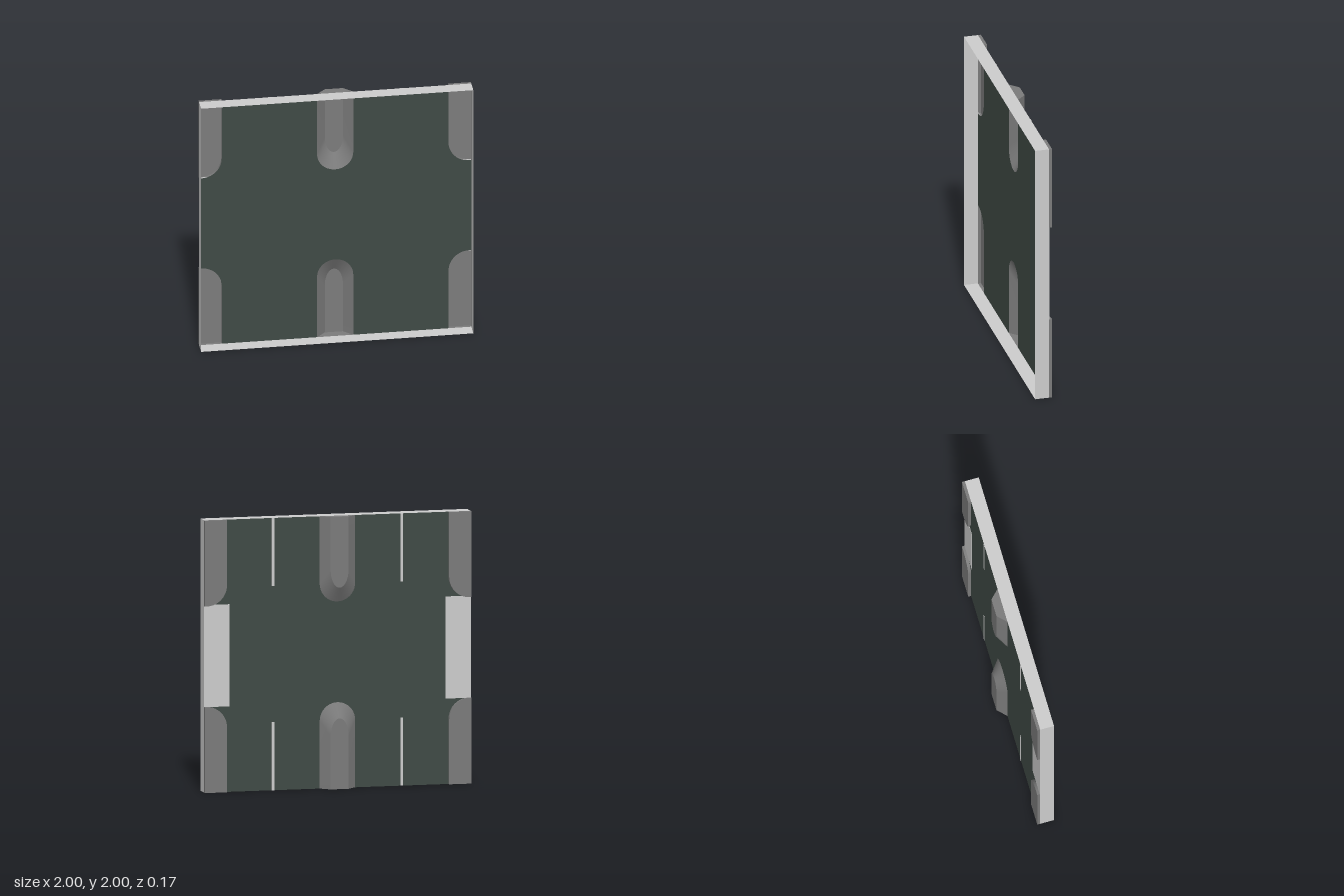
import * as THREE from 'three';
import { toCreasedNormals } from 'three/addons/utils/BufferGeometryUtils.js';

const DECK = -0.02, CURB = -0.042, RIDGE = -0.085, OPEN = 0.085;

function flat(name, color) {
  const m = new THREE.MeshStandardMaterial({ color, side: THREE.DoubleSide });
  m.name = name;
  return m;
}

// Elliptical arc as a list of points
function arc(cx, cy, rx, ry, a0, a1, n) {
  return Array.from({ length: n + 1 }, (_, i) => {
    const a = a0 + (a1 - a0) * i / n;
    return new THREE.Vector2(cx + rx * Math.cos(a), cy + ry * Math.sin(a));
  });
}

// Round-ended strip rising from y = 0, listed from left to right
function tongue(halfWidth, centre, ry) {
  return [new THREE.Vector2(-halfWidth, 0),
    ...arc(0, centre, halfWidth, ry, Math.PI, 0, 20),
    new THREE.Vector2(halfWidth, 0)];
}

// Inner edge of the right-hand pavement, from y = 0 to the outer side
function pavementEdge() {
  return [new THREE.Vector2(0.833, 0),
    ...arc(0.983, 0.475, 0.15, 0.155, Math.PI, Math.PI / 2, 10),
    new THREE.Vector2(1, 0.63)];
}

const flipX = pts => pts.map(p => new THREE.Vector2(-p.x, p.y)).reverse();
const flipY = pts => pts.map(p => new THREE.Vector2(p.x, 2 - p.y)).reverse();

// Hollow raised shell: walls between two outlines, closed by a top face
function shell(base, top, z0, z1) {
  const pos = [], n = base.length;
  const tri = (...ps) => ps.forEach(([p, z]) => pos.push(p.x, p.y, z));
  for (let i = 0; i < n; i++) {
    const j = (i + 1) % n;
    tri([base[i], z0], [top[i], z1], [base[j], z0]);
    tri([base[j], z0], [top[i], z1], [top[j], z1]);
  }
  for (const f of THREE.ShapeUtils.triangulateShape(top, []))
    tri(...f.map(k => [top[k], z1]));
  const g = new THREE.BufferGeometry();
  g.setAttribute('position', new THREE.Float32BufferAttribute(pos, 3));
  return toCreasedNormals(g, 0.5);
}

export function createModel() {
  const group = new THREE.Group();
  const asphalt = flat('dark asphalt', 0x404a45);
  const stone = flat('grey stone', 0x7b7b7b);
  const light = flat('light concrete', 0xcccccc);

  const add = (name, geometry, material, x = 0, y = 0, z = 0) => {
    const mesh = new THREE.Mesh(geometry, material);
    mesh.name = name;
    mesh.position.set(x, y, z);
    group.add(mesh);
    return mesh;
  };

  const edge = pavementEdge();
  const base = tongue(0.133, 0.497, 0.133);
  const crest = tongue(0.067, 0.39, 0.13);

  // Road deck, cut away under the pavements and islands
  const lower = [...flipX(edge), ...base, ...edge];
  const road = new THREE.ShapeGeometry(new THREE.Shape([...lower, ...flipY(lower)]));
  add('roadDeck', road, asphalt, 0, 0, DECK);

  // Four pavements at the corners
  const corner = [...edge, new THREE.Vector2(1, 0)];
  for (const pts of [corner, flipX(corner), flipY(corner), flipY(flipX(corner))])
    add('pavement', shell(pts, pts, DECK, CURB), stone);

  // Two sloped centre islands
  add('lowerIsland', shell(base, crest, DECK, RIDGE), stone);
  add('upperIsland', shell(flipY(base), flipY(crest), DECK, RIDGE), stone);

  // Rim walls around the open side
  const depth = OPEN - DECK, mid = (OPEN + DECK) / 2;
  for (const s of [-1, 1]) {
    add('sideRim', new THREE.PlaneGeometry(depth, 2), light, s, 1, mid)
      .rotation.y = s * Math.PI / 2;
    add('endRim', new THREE.PlaneGeometry(2, depth), light, 0, 1 + s, mid)
      .rotation.x = -s * Math.PI / 2;

    // Light crossing panel between the pavements
    add('crossingPanel', new THREE.BoxGeometry(0.19, 0.75, 0.002), light, s * 0.905, 1.003, DECK - 0.002);

    // Lane lines
    for (const y of [0.25, 1.75])
      add('laneLine', new THREE.BoxGeometry(0.02, 0.5, 0.002), light, s * 0.483, y, DECK - 0.002);
  }
  return group;
}
